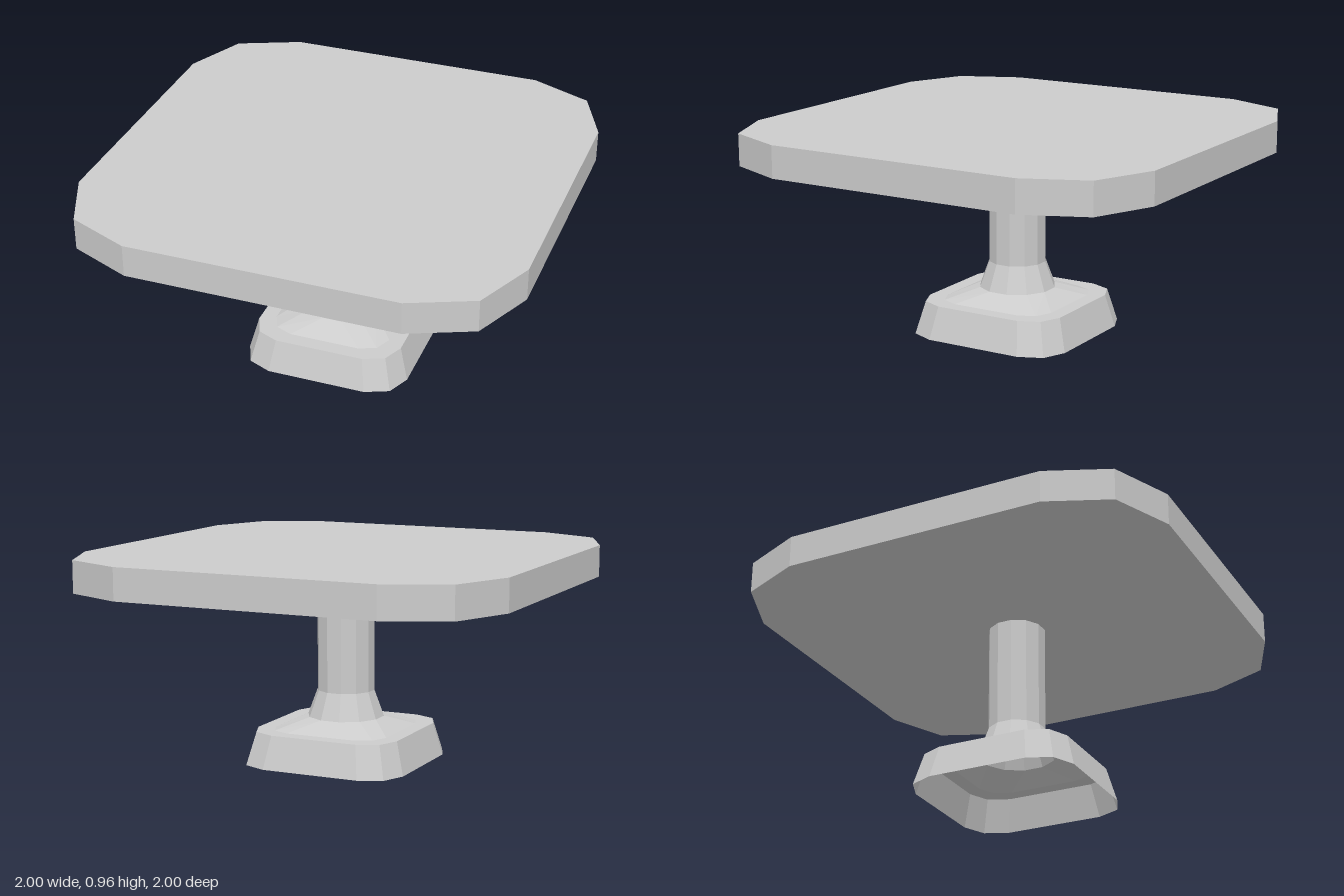
import * as THREE from 'three';

// Twelve-sided rounded square, half width 1
const quarter = [[1, 0.6], [0.88, 0.88], [0.6, 1]];
const square = [];
for (let q = 0; q < 4; q++) {
  for (const [a, b] of quarter) {
    square.push([[a, b], [-b, a], [-a, -b], [b, -a]][q]);
  }
}
// Matching regular twelve-sided ring, half width 1
const round = square.map((_, i) => {
  const t = (15 + 30 * i) * Math.PI / 180;
  const r = 1 / Math.cos(Math.PI / 12);
  return [r * Math.cos(t), r * Math.sin(t)];
});

// Open shell through stacked rings of [outline, half width, height]
function loft(rings) {
  const n = 12, pos = [], index = [];
  for (const [outline, s, y] of rings) {
    for (const [x, z] of outline) pos.push(x * s, y, z * s);
  }
  for (let r = 0; r < rings.length - 1; r++) {
    for (let i = 0; i < n; i++) {
      const a = r * n + i, b = r * n + (i + 1) % n;
      index.push(a, a + n, b, b, a + n, b + n);
    }
  }
  const g = new THREE.BufferGeometry();
  g.setAttribute('position', new THREE.Float32BufferAttribute(pos, 3));
  g.setIndex(index);
  const flat = g.toNonIndexed();
  flat.computeVertexNormals();
  return flat;
}

export function createModel() {
  const group = new THREE.Group();
  const grey = new THREE.MeshStandardMaterial({ color: 0xcccccc, flatShading: true, side: THREE.DoubleSide });
  grey.name = 'light grey';

  const add = (name, geometry) => {
    const mesh = new THREE.Mesh(geometry, grey);
    mesh.name = name;
    group.add(mesh);
    return mesh;
  };

  // Tabletop slab with chamfered corners
  const shape = new THREE.Shape(square.map(([x, z]) => new THREE.Vector2(x, z)));
  const top = new THREE.ExtrudeGeometry(shape, { depth: 0.145, bevelEnabled: false });
  top.rotateX(-Math.PI / 2);
  add('tabletop', top).position.y = 0.82;

  // Hollow foot, open underneath: sloped wall, flat rim, rise to the post
  add('foot', loft([
    [square, 0.385, 0], [square, 0.345, 0.15], [square, 0.275, 0.15], [round, 0.17, 0.2],
  ]));

  // Flared collar and straight post
  add('post', loft([[round, 0.17, 0.2], [round, 0.127, 0.32], [round, 0.127, 0.82]]));

  return group;
}
